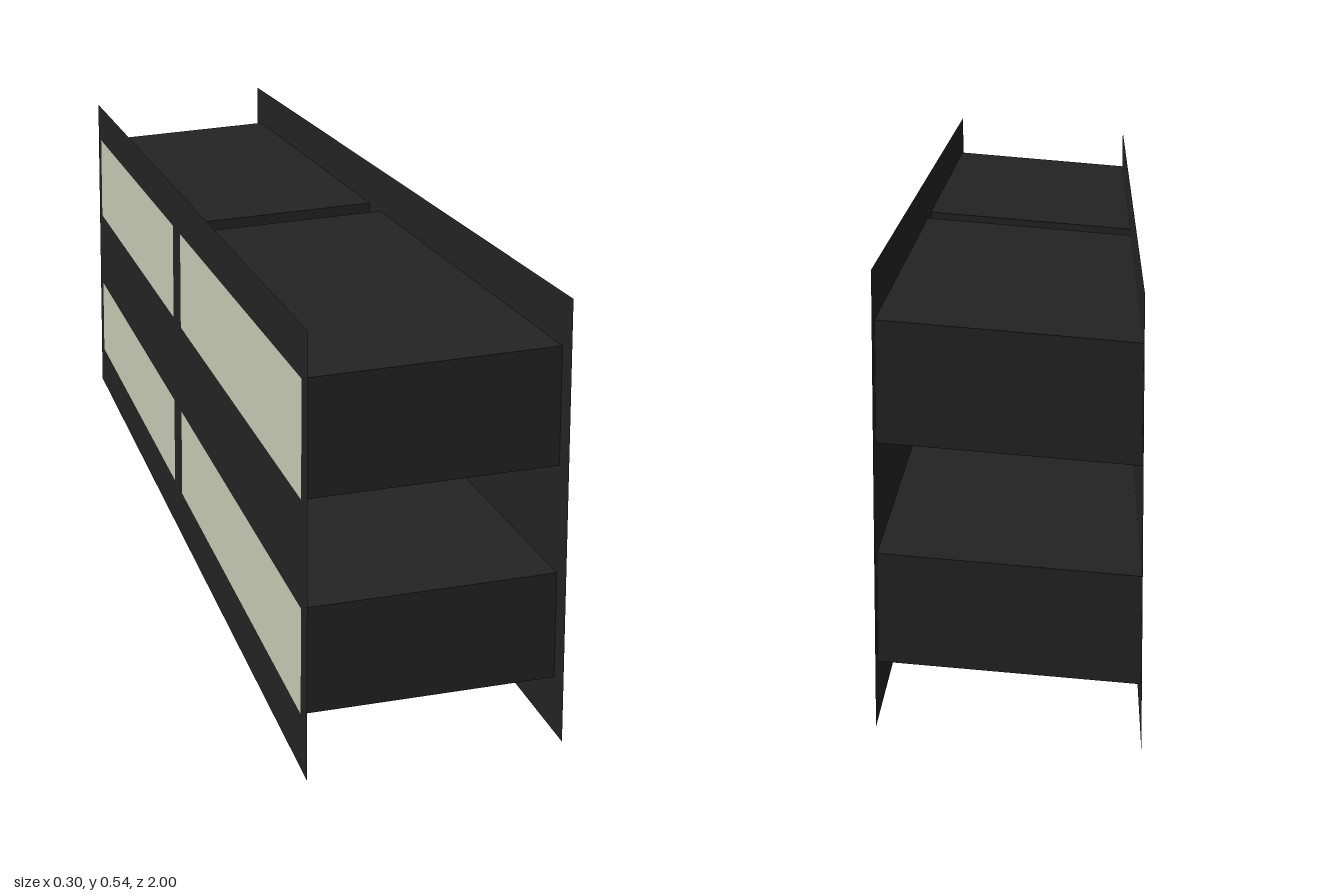
import * as THREE from 'three';

const HALF_DEPTH = 0.149; // panels sit at x = +/- this
const RISE = 0.025; // height gained from the left end of a duct to its right end
const PANEL_HEIGHT = 0.518;
const BAY_LENGTH = 0.926;
const BAY_Z = 0.5;
const ROWS = [{ y: 0.065, h: 0.126 }, { y: 0.318, h: 0.139 }]; // opening bottoms and heights

export function createModel() {
  const group = new THREE.Group();
  const dark = new THREE.MeshStandardMaterial({ name: 'charcoal', color: 0x232323, side: THREE.DoubleSide });
  const cream = new THREE.MeshStandardMaterial({ name: 'pale cream', color: 0xc6cab2, side: THREE.DoubleSide });

  const add = (name, geometry, material, x, y, z) => {
    const mesh = new THREE.Mesh(geometry, material);
    mesh.name = name;
    mesh.position.set(x, y, z);
    group.add(mesh);
  };
  const rect = (path, x, y, w, h) => path.moveTo(x, y).lineTo(x + w, y).lineTo(x + w, y + h).lineTo(x, y + h).closePath();

  // Thin face panel with four rectangular openings
  const outline = rect(new THREE.Shape(), -1, 0, 2, PANEL_HEIGHT);
  for (const { y, h } of ROWS) {
    for (const side of [-1, 1]) {
      outline.holes.push(rect(new THREE.Path(), side * BAY_Z - BAY_LENGTH / 2, y, BAY_LENGTH, h));
    }
  }
  const panel = new THREE.ShapeGeometry(outline).rotateY(Math.PI / 2);
  add('openPanel', panel, dark, HALF_DEPTH, RISE, 0);
  add('panedPanel', panel, dark, -HALF_DEPTH, 0, 0);

  // Sloping ducts between the panels, each closed by a pale pane at its low end
  const shear = new THREE.Matrix4().set(
    1, 0, 0, 0,
    RISE / (2 * HALF_DEPTH), 1, 0, 0,
    0, 0, 1, 0,
    0, 0, 0, 1);
  for (const { y, h } of ROWS) {
    const box = new THREE.BoxGeometry(2 * HALF_DEPTH, h, BAY_LENGTH);
    box.setIndex(Array.from(box.index.array).slice(12)); // drop both x ends
    box.clearGroups();
    const duct = box.toNonIndexed().applyMatrix4(shear);
    duct.computeVertexNormals();
    const pane = new THREE.PlaneGeometry(BAY_LENGTH, h).rotateY(-Math.PI / 2);
    for (const side of [-1, 1]) {
      add('duct', duct, dark, 0, y + h / 2 + RISE / 2, side * BAY_Z);
      add('pane', pane, cream, -HALF_DEPTH, y + h / 2, side * BAY_Z);
    }
  }
  return group;
}
